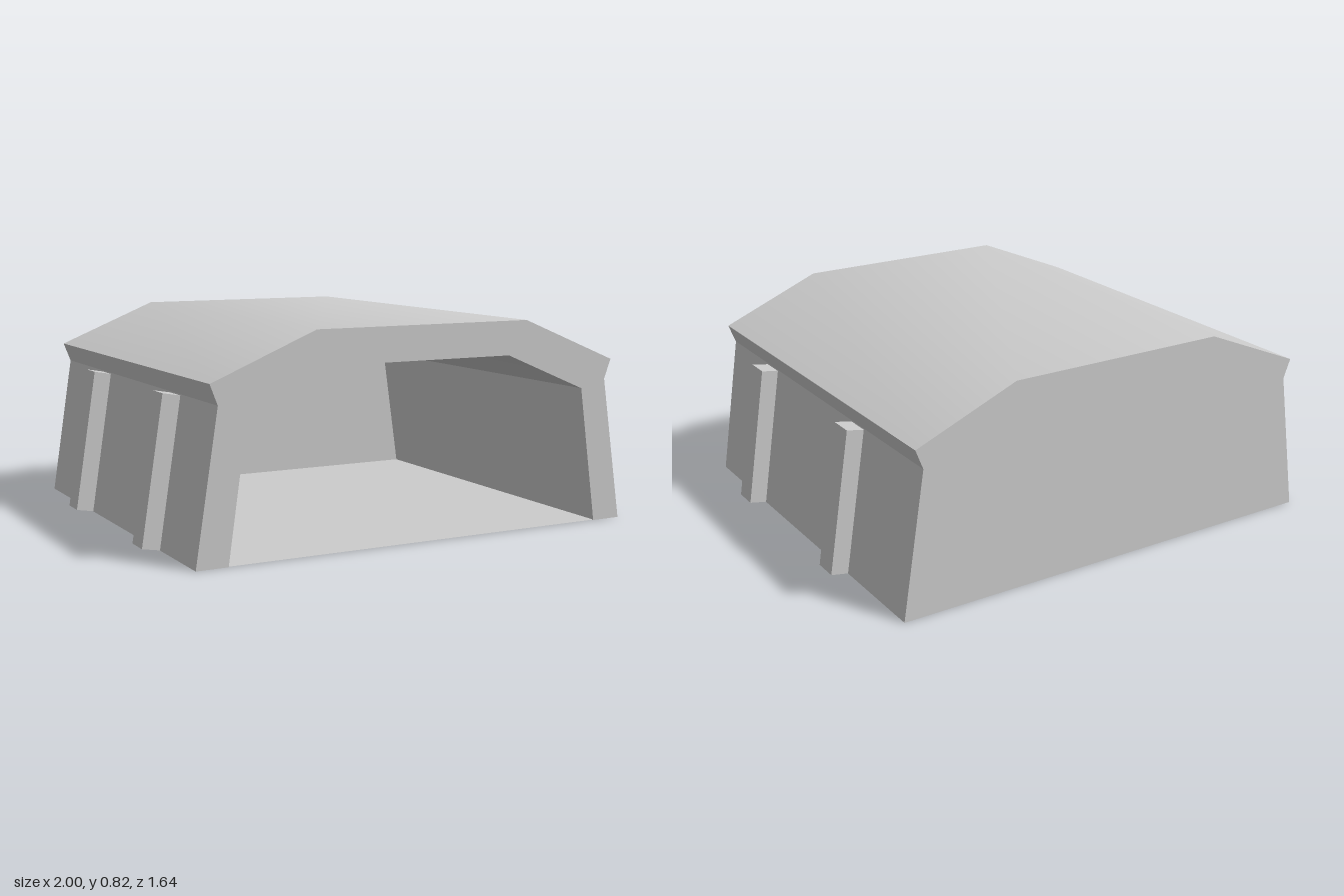
import * as THREE from 'three';
import { toCreasedNormals } from 'three/addons/utils/BufferGeometryUtils.js';

const FRONT = 0.82, BACK = -0.82, INNER_BACK = -0.73;

// Half profiles from the ground up; mirrored to a full arch, right to left
const mirror = (half) => [...half, ...half.map(([x, y]) => [-x, y]).reverse()];
const outer = mirror([[0.93, 0], [0.84, 0.575], [0.87, 0.652], [0.455, 0.823]]);
const inner = mirror([[0.805, 0], [0.727, 0.542], [0.375, 0.69]]);
const toShape = (pts) => new THREE.Shape(pts.map(([x, y]) => new THREE.Vector2(x, y)));

// Sweep an open profile along z; bends under about 29 degrees shade smoothly
function sweep(pts, z0, z1) {
  const pos = [];
  for (let i = 0; i < pts.length - 1; i++) {
    const a = pts[i], b = pts[i + 1];
    pos.push(...a, z0, ...b, z0, ...b, z1, ...a, z0, ...b, z1, ...a, z1);
  }
  const geo = new THREE.BufferGeometry();
  geo.setAttribute('position', new THREE.Float32BufferAttribute(pos, 3));
  return toCreasedNormals(geo, 0.5);
}

export function createModel() {
  const group = new THREE.Group();
  const thin = new THREE.MeshStandardMaterial({ color: 0xcccccc, side: THREE.DoubleSide });
  const solid = new THREE.MeshStandardMaterial({ color: 0xcccccc });
  const add = (name, geo, mat = thin) => {
    const mesh = new THREE.Mesh(geo, mat);
    mesh.name = name;
    group.add(mesh);
    return mesh;
  };

  // Outer and inner skins, hollow between them and open underneath
  add('outerShell', sweep(outer, BACK, FRONT));
  add('innerShell', sweep([...inner].reverse(), INNER_BACK, FRONT));

  // Front rim around the opening
  add('frontRim', new THREE.ShapeGeometry(toShape([...outer, ...[...inner].reverse()])))
    .position.z = FRONT;

  // Back wall, outside and inside
  const backWall = add('backWall', new THREE.ShapeGeometry(toShape(outer)));
  backWall.rotation.y = Math.PI;
  backWall.position.z = BACK;
  add('innerBackWall', new THREE.ShapeGeometry(toShape(inner))).position.z = INNER_BACK;

  // Floor
  const floor = add('floor', new THREE.PlaneGeometry(1.61, FRONT - INNER_BACK));
  floor.rotation.x = -Math.PI / 2;
  floor.position.set(0, 0.002, (FRONT + INNER_BACK) / 2);

  // Leaning struts on both side walls
  for (const side of [1, -1]) {
    const section = [[0.927, 0], [1, 0.013], [0.91, 0.583], [0.837, 0.57]];
    const shape = toShape(section.map(([x, y]) => [x * side, y]));
    for (const z of [0.38, -0.38]) {
      const geo = new THREE.ExtrudeGeometry(shape, { depth: 0.1, bevelEnabled: false });
      add(side > 0 ? 'leftStrut' : 'rightStrut', geo, solid).position.z = z;
    }
  }
  return group;
}
